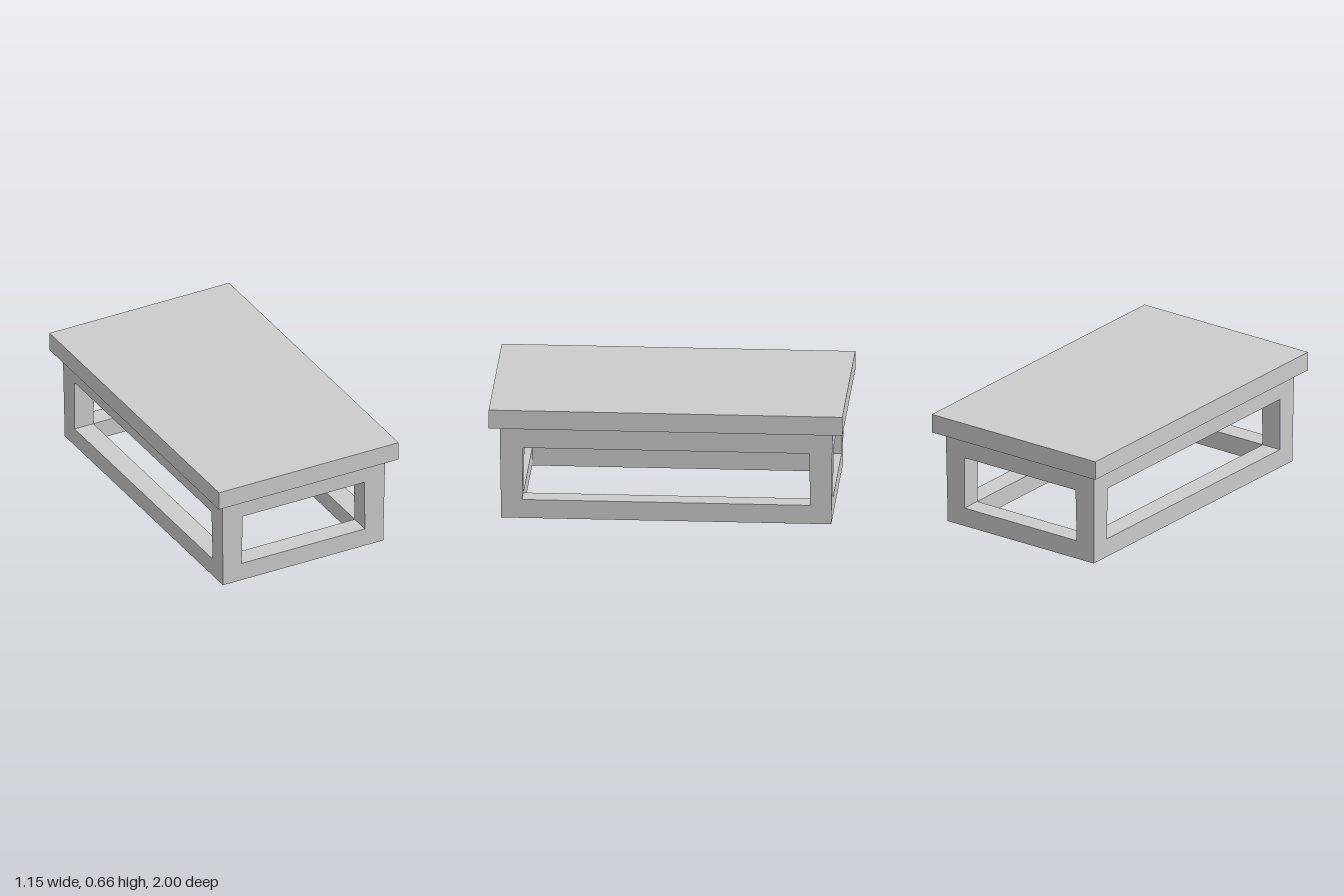
import * as THREE from 'three';

const TOP_Y = 0.66, FRAME_Y = 0.55, APRON_Y = 0.42, RAIL_Y = 0.11;
const EXTRA_Z = 0.418; // how much longer the frame is than wide, per half

// Half width of the frame's outer and inner faces at a height: the legs thicken upwards
const outerX = (y) => 0.515 + 0.0145 * y;
const innerX = (y) => 0.398 - 0.0165 * y;

// Moves every vertex onto the tapered outer or inner face at its height
function taper(geometry) {
  const p = geometry.attributes.position;
  for (let i = 0; i < p.count; i++) {
    const x = p.getX(i), y = p.getY(i), z = p.getZ(i);
    const hx = Math.abs(x) > 0.45 ? outerX(y) : innerX(y);
    const hz = (Math.abs(z) > 0.45 + EXTRA_Z ? outerX(y) : innerX(y)) + EXTRA_Z;
    p.setXYZ(i, Math.sign(x) * hx, y, Math.sign(z) * hz);
  }
  geometry.computeVertexNormals();
  return geometry;
}

function rectangle(path, h) {
  const w = h + EXTRA_Z;
  path.moveTo(-h, -w);
  path.lineTo(h, -w);
  path.lineTo(h, w);
  path.lineTo(-h, w);
  path.closePath();
  return path;
}

// Rectangular ring of four rails between two heights
function ringGeometry(y0, y1) {
  const shape = rectangle(new THREE.Shape(), 0.52);
  shape.holes.push(rectangle(new THREE.Path(), 0.39));
  const g = new THREE.ExtrudeGeometry(shape, { depth: y1 - y0, bevelEnabled: false });
  g.rotateX(-Math.PI / 2).translate(0, y0, 0);
  return taper(g);
}

export function createModel() {
  const model = new THREE.Group();
  model.name = 'table';
  const material = new THREE.MeshStandardMaterial({ color: 0xcccccc, flatShading: true });
  const add = (name, geometry) => {
    const mesh = new THREE.Mesh(geometry, material);
    mesh.name = name;
    model.add(mesh);
  };

  // Overhanging slab
  const slab = new THREE.BoxGeometry(1.154, TOP_Y - FRAME_Y, 2);
  add('tableTop', slab.translate(0, (TOP_Y + FRAME_Y) / 2, 0));

  // Upper and lower rings
  add('apron', ringGeometry(APRON_Y, FRAME_Y));
  add('bottomRails', ringGeometry(0, RAIL_Y));

  // Tapered corner legs between the rings
  for (const [sx, side] of [[1, 'Left'], [-1, 'Right']]) {
    for (const [sz, end] of [[1, 'front'], [-1, 'back']]) {
      const leg = new THREE.BoxGeometry(0.13, APRON_Y - RAIL_Y, 0.13);
      leg.translate(sx * 0.455, (APRON_Y + RAIL_Y) / 2, sz * (0.455 + EXTRA_Z));
      add(end + side + 'Leg', taper(leg));
    }
  }
  return model;
}
